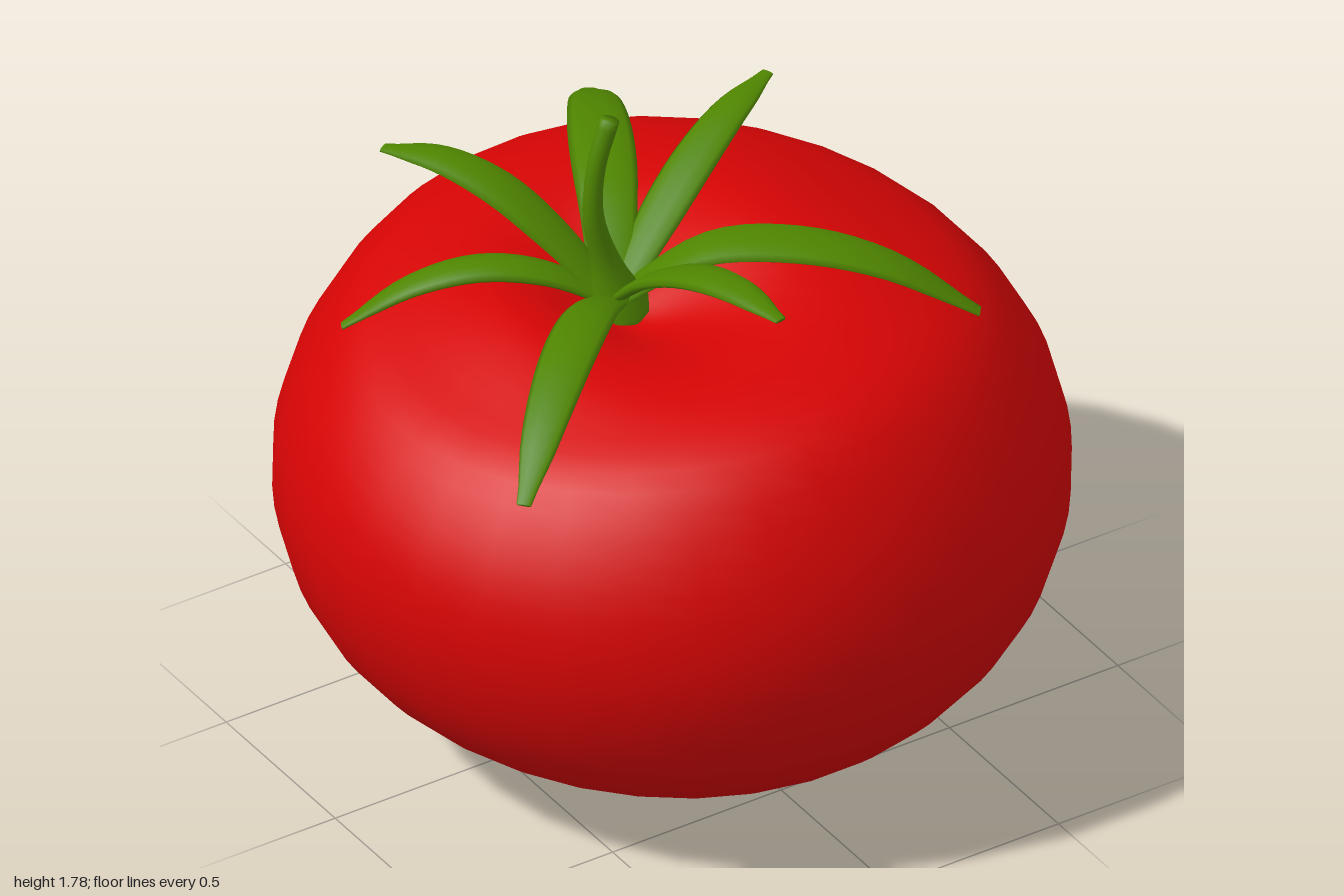
import * as THREE from 'three';
import { mergeVertices } from 'three/addons/utils/BufferGeometryUtils.js';

const red = new THREE.MeshStandardMaterial({ color: 0xd50404 });
red.name = 'tomatoRed';
const green = new THREE.MeshStandardMaterial({ color: 0x4f8500 });
green.name = 'leafGreen';

const CENTRE = [-0.14, -0.05]; // x, z of the dimple

// Smooth value through evenly spaced samples
function sampler(values) {
  const curve = new THREE.SplineCurve(values.map((v, i) => new THREE.Vector2(i, v)));
  return (t) => curve.getPoint(t).y;
}

// Sweep an elliptical section along a curve; side is the width direction
function sweep(curve, side, halfWidth, halfThick, steps = 20, sides = 10) {
  const pos = [], index = [];
  for (let i = 0; i <= steps + 2; i++) {
    const t = THREE.MathUtils.clamp((i - 1) / steps, 0, 1);
    const open = i === 0 || i === steps + 2 ? 0 : 1; // collapsed end rings close the shape
    const p = curve.getPoint(t);
    const up = side.clone().cross(curve.getTangent(t)).normalize();
    for (let j = 0; j < sides; j++) {
      const a = (j / sides) * Math.PI * 2;
      const q = p.clone()
        .addScaledVector(side, Math.cos(a) * halfWidth(t) * open)
        .addScaledVector(up, Math.sin(a) * halfThick(t) * open);
      pos.push(q.x, q.y, q.z);
      if (i < steps + 2) {
        const k = (j + 1) % sides, r0 = i * sides, r1 = r0 + sides;
        index.push(r0 + j, r1 + j, r0 + k, r0 + k, r1 + j, r1 + k);
      }
    }
  }
  const geo = new THREE.BufferGeometry();
  geo.setAttribute('position', new THREE.Float32BufferAttribute(pos, 3));
  geo.setIndex(index);
  geo.computeVertexNormals();
  return geo;
}

// Squashed fruit with an off-centre dimple and one higher shoulder
function fruitGeometry() {
  const profile = new THREE.SplineCurve([
    [0, 0], [0.2, 0.01], [0.4, 0.047], [0.6, 0.118], [0.8, 0.25], [0.94, 0.44], [1, 0.69],
    [0.95, 0.945], [0.8, 1.17], [0.6, 1.26], [0.4, 1.29], [0.25, 1.265], [0.1, 1.21], [0, 1.19],
  ].map(([r, y]) => new THREE.Vector2(r, y))).getPoints(52);
  profile[0].x = profile[52].x = 0;
  let geo = new THREE.LatheGeometry(profile, 32, Math.PI / 32);
  const p = geo.attributes.position;
  for (let i = 0; i < p.count; i++) {
    const x = p.getX(i), y = p.getY(i), z = p.getZ(i);
    const r = Math.min(Math.hypot(x, z), 1), a = Math.atan2(z, x);
    const wave = Math.sin(r * Math.PI);
    if (y > 0.69) {
      const shift = (1 - r) ** 1.5;
      const lift = 0.045 * wave * Math.cos(a) + 0.03 * Math.sin(r * 2 * Math.PI) * Math.cos(2 * a);
      p.setXYZ(i, x + CENTRE[0] * shift, y + lift, z + CENTRE[1] * shift);
    } else {
      p.setY(i, Math.max(0, y + wave * 0.016 * Math.cos(2 * a) * Math.min(1, r * 2)));
    }
  }
  geo.deleteAttribute('uv');
  geo.deleteAttribute('normal');
  geo = mergeVertices(geo, 1e-4);
  geo.computeVertexNormals();
  return geo;
}

// Sepals: tip x and z, full width, heights at quarter points
const SEPALS = [
  [-0.77, 0.51, 0.14, [1.22, 1.32, 1.335, 1.28, 1.16]],
  [0.59, 0.50, 0.165, [1.22, 1.385, 1.41, 1.36, 1.23]],
  [-0.06, 0.59, 0.13, [1.22, 1.37, 1.46, 1.5, 1.5]],
  [0.32, -0.88, 0.165, [1.22, 1.365, 1.38, 1.33, 1.2]],
  [0.51, -0.35, 0.125, [1.22, 1.33, 1.42, 1.475, 1.49]],
  [-0.47, -0.60, 0.14, [1.22, 1.36, 1.46, 1.5, 1.485]],
  [-0.74, -0.37, 0.115, [1.22, 1.31, 1.335, 1.29, 1.18]],
];

export function createModel() {
  const group = new THREE.Group();
  group.name = 'tomato';
  const add = (name, geo, material) => {
    const mesh = new THREE.Mesh(geo, material);
    mesh.name = name;
    group.add(mesh);
  };

  add('fruit', fruitGeometry(), red);

  // Star of curved sepals with blunt tips
  const taper = sampler([0.65, 0.83, 0.98, 1, 0.9, 0.68, 0.27]);
  SEPALS.forEach(([x, z, width, heights], n) => {
    const dx = x - CENTRE[0], dz = z - CENTRE[1];
    const curve = new THREE.CatmullRomCurve3(heights.map((y, i) =>
      new THREE.Vector3(CENTRE[0] + dx * i / 4, y, CENTRE[1] + dz * i / 4)));
    const side = new THREE.Vector3(-dz, 0, dx).normalize();
    add(`sepal${n + 1}`, sweep(curve, side, (t) => taper(t) * width / 2, (t) => taper(t) * 0.02), green);
  });

  // Bent stem with a flared foot
  const stemCurve = new THREE.CatmullRomCurve3([
    [-0.12, 1.17], [-0.165, 1.34], [-0.205, 1.5], [-0.195, 1.65], [-0.155, 1.775],
  ].map(([x, y]) => new THREE.Vector3(x, y, -0.045)));
  const stemRadius = sampler([0.085, 0.04, 0.028, 0.025, 0.025]);
  add('stem', sweep(stemCurve, new THREE.Vector3(0, 0, 1), stemRadius, stemRadius), green);

  return group;
}
